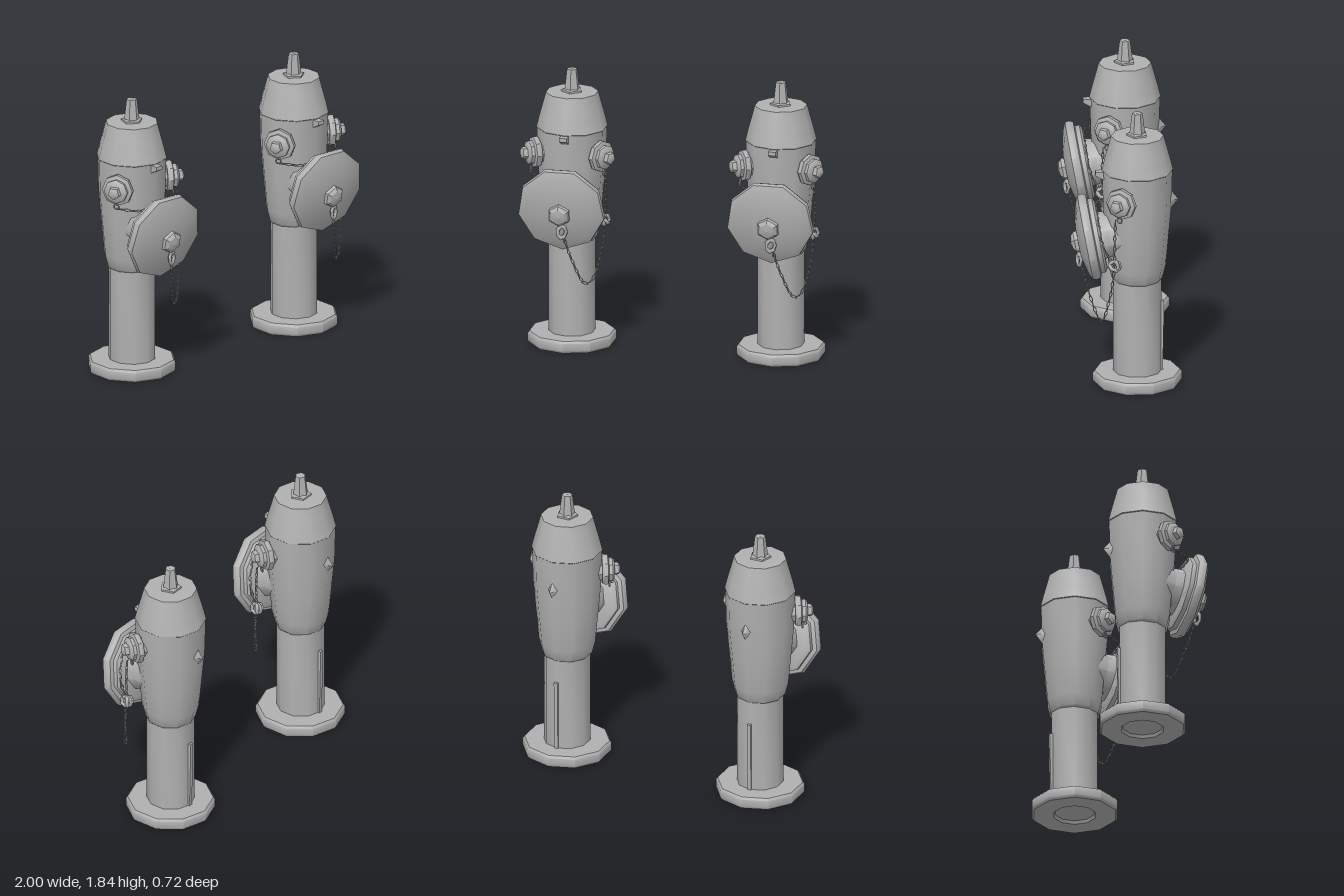
import * as THREE from 'three';
import { toCreasedNormals } from 'three/addons/utils/BufferGeometryUtils.js';

const iron = new THREE.MeshStandardMaterial({ color: 0xb0b0b0 });
iron.name = 'grey iron';

const AXIS_Z = -0.07; // the column stands slightly behind the centre

function add(parent, name, geometry) {
  const mesh = new THREE.Mesh(geometry, iron);
  mesh.name = name;
  parent.add(mesh);
  return mesh;
}

// Faceted turned part; profile pairs are [radius, height]
function turned(profile, sides, crease = 0.75) {
  const points = profile.map(([r, y]) => new THREE.Vector2(r, y));
  return toCreasedNormals(new THREE.LatheGeometry(points, sides), crease);
}

// Chain of elongated links, each turned a quarter against the last
function addChain(parent, name, points) {
  const chain = new THREE.Group();
  chain.name = name;
  const curve = new THREE.CatmullRomCurve3(points.map(p => new THREE.Vector3(...p)));
  const count = Math.round(curve.getLength() / 0.036);
  const link = new THREE.TorusGeometry(0.011, 0.0035, 4, 6);
  link.scale(0.8, 1.9, 1);
  const up = new THREE.Vector3(0, 1, 0);
  for (let i = 0; i < count; i++) {
    const u = (i + 0.5) / count;
    const mesh = add(chain, 'chainLink', link);
    mesh.position.copy(curve.getPointAt(u));
    mesh.quaternion.setFromUnitVectors(up, curve.getTangentAt(u));
    mesh.rotateY(i % 2 ? Math.PI / 2 : 0);
  }
  parent.add(chain);
}

function createHydrant() {
  const hydrant = new THREE.Group();
  hydrant.name = 'hydrant';

  // Upright parts share one axis
  const stand = new THREE.Group();
  stand.name = 'stand';
  stand.position.z = AXIS_Z;
  hydrant.add(stand);

  add(stand, 'baseFlange', turned([
    [0.13, 0.02], [0.14, 0], [0.275, 0], [0.287, 0.015], [0.287, 0.065], [0.275, 0.08], [0.13, 0.08],
  ], 10));
  add(stand, 'baseUnderside', new THREE.CircleGeometry(0.15, 10).rotateX(Math.PI / 2)).position.y = 0.02;
  const column = add(stand, 'column', turned([[0.15, 0.07], [0.15, 0.74]], 10));
  column.scale.z = 1.04;
  add(stand, 'barrel', turned([
    [0.14, 0.69], [0.163, 0.71], [0.183, 0.79], [0.202, 1.0], [0.22, 1.2], [0.226, 1.445],
  ], 10));
  add(stand, 'bonnet', turned([
    [0.222, 1.438], [0.23, 1.446], [0.212, 1.52], [0.19, 1.6], [0.169, 1.677], [0, 1.682],
  ], 10));
  add(stand, 'topFlange', turned([[0.07, 1.675], [0.07, 1.692], [0.045, 1.7]], 5));
  add(stand, 'topNut', turned([[0.05, 1.695], [0.034, 1.83], [0.015, 1.835], [0, 1.828]], 6));

  // Rib along the back of the column and knobs front and rear
  const rib = add(stand, 'rearRib', new THREE.BoxGeometry(0.025, 0.47, 0.03));
  rib.position.set(0, 0.315, -0.153);
  rib.rotation.x = -0.02;
  const rearKnob = add(stand, 'rearKnob',
    new THREE.ConeGeometry(1, 0.06, 4).rotateX(-Math.PI / 2).scale(0.035, 0.075, 1));
  rearKnob.position.set(0, 1.24, -0.235);
  const lip = new THREE.Shape([[0.15, 1.44], [0.15, 1.34], [0.222, 1.39], [0.27, 1.415], [0.27, 1.44]]
    .map(([z, y]) => new THREE.Vector2(z, y)));
  const lipGeometry = new THREE.ExtrudeGeometry(lip, { depth: 0.05, bevelEnabled: false });
  lipGeometry.translate(0, 0, -0.025).rotateY(-Math.PI / 2);
  add(stand, 'frontLip', lipGeometry);

  // Large front outlet, tipped a little downward
  const outlet = new THREE.Group();
  outlet.name = 'frontOutlet';
  outlet.position.set(0, 0.983, 0.245);
  outlet.rotation.x = 0.18;
  hydrant.add(outlet);
  const facing = (profile, sides, crease) => turned(profile, sides, crease).rotateX(Math.PI / 2);
  add(outlet, 'outletNeck', facing([[0.17, -0.25], [0.15, -0.14], [0.16, -0.07]], 9));
  add(outlet, 'outletCap', facing([
    [0, -0.085], [0.225, -0.085], [0.25, -0.07], [0.25, -0.042], [0.277, -0.035],
    [0.289, -0.01], [0.284, 0.018], [0.235, 0.04], [0.11, 0.068], [0, 0.07],
  ], 9));
  const nut = add(outlet, 'outletNut', facing([[0.078, 0.06], [0.072, 0.09], [0.05, 0.108], [0, 0.118]], 6, 0.3));
  nut.position.y = -0.01;

  // Ring holding the chain below the nut
  const ring = add(hydrant, 'chainRing', new THREE.TorusGeometry(0.028, 0.012, 5, 7));
  ring.position.set(0.015, 0.845, 0.305);
  ring.scale.y = 1.4;
  ring.rotation.y = 0.4;

  // Pair of side outlets, turned partly forward
  for (const side of [-1, 1]) {
    const nozzle = new THREE.Group();
    nozzle.name = side > 0 ? 'leftOutlet' : 'rightOutlet';
    nozzle.position.set(side * 0.175, 1.29, 0.02);
    nozzle.rotation.y = side * 1.05;
    hydrant.add(nozzle);
    add(nozzle, 'sideNeck', facing([[0.085, -0.07], [0.07, 0.04]], 8));
    add(nozzle, 'sideCap', facing([
      [0.05, 0.025], [0.095, 0.025], [0.105, 0.04], [0.103, 0.062], [0.078, 0.07],
      [0.08, 0.092], [0.066, 0.105], [0, 0.11],
    ], 8));
    add(nozzle, 'sideNut', facing([[0.045, 0.1], [0.04, 0.135], [0.022, 0.145], [0, 0.147]], 5));
    const eye = add(nozzle, 'chainEye', new THREE.TorusGeometry(0.018, 0.006, 4, 6));
    eye.position.set(0, -0.105, 0.075);
  }

  // Chains meeting at a bundle beside the front outlet
  const bundle = [0.25, 0.88, 0.09];
  for (let i = 0; i < 3; i++) {
    const loop = add(hydrant, 'chainBundle', new THREE.TorusGeometry(0.034, 0.013, 5, 7));
    loop.position.set(...bundle);
    loop.rotation.set(i * 0.6, Math.PI / 2 + (i - 1) * 0.9, 0);
  }
  addChain(hydrant, 'frontChain', [
    [0.02, 0.82, 0.29], [0.07, 0.64, 0.245], [0.14, 0.475, 0.18], [0.18, 0.49, 0.16], [0.24, 0.71, 0.11], bundle,
  ]);
  addChain(hydrant, 'leftChain', [bundle, [0.258, 1.05, 0.09], [0.255, 1.19, 0.085]]);
  addChain(hydrant, 'rightChain', [
    [-0.25, 1.18, 0.09], [-0.16, 1.17, 0.18], [0, 1.17, 0.19], [0.16, 1.15, 0.19], [0.225, 1.0, 0.16], bundle,
  ]);
  return hydrant;
}

export function createModel() {
  const model = new THREE.Group();
  model.name = 'hydrantPair';
  for (const x of [-0.683, 0.69]) {
    const hydrant = createHydrant();
    hydrant.position.x = x;
    model.add(hydrant);
  }
  return model;
}
